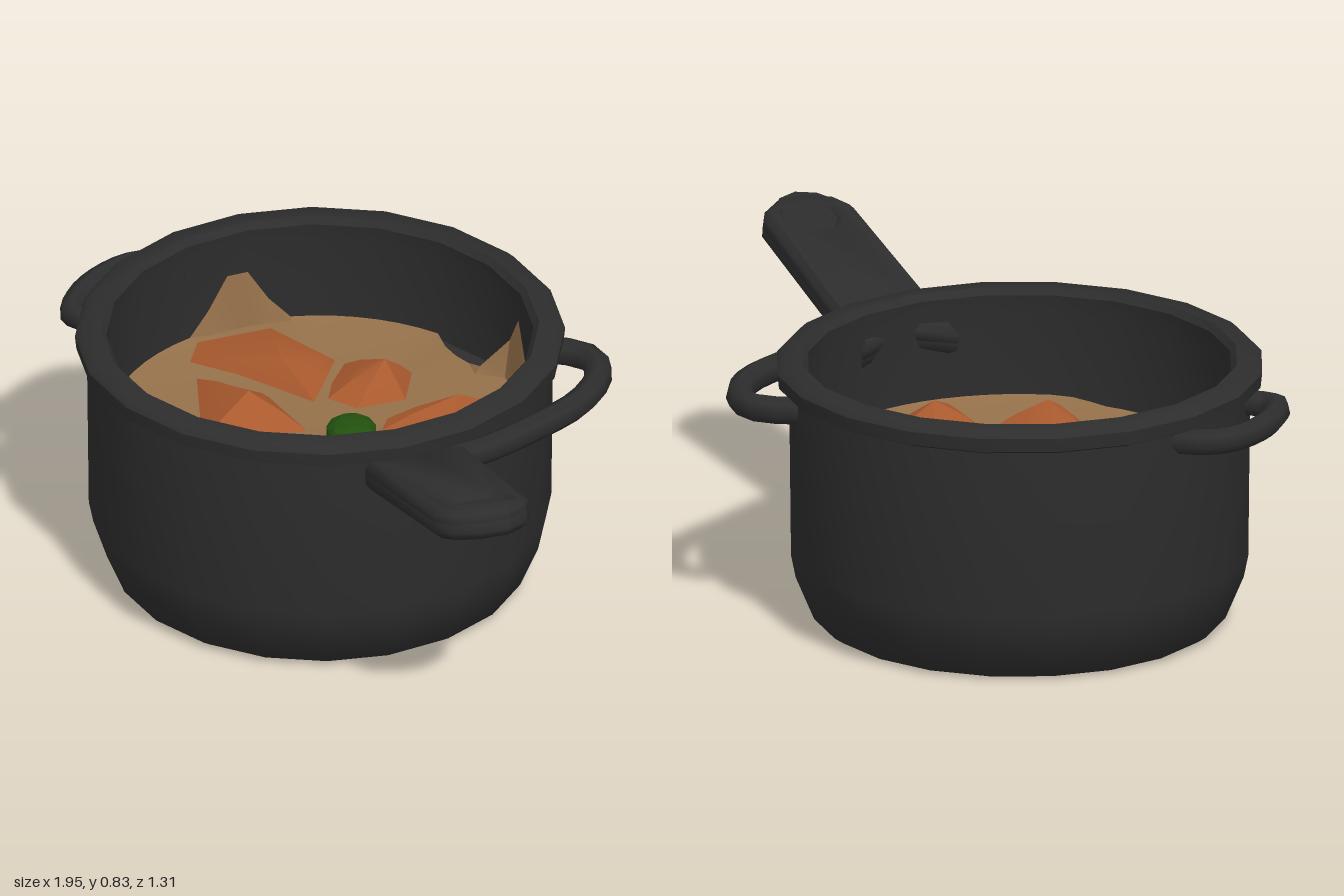
import * as THREE from 'three';
import { toCreasedNormals } from 'three/addons/utils/BufferGeometryUtils.js';

const POT_X = -0.27, BROTH_Y = 0.43;
const mat = (name, color) => {
  const m = new THREE.MeshStandardMaterial({ color });
  m.name = name;
  return m;
};

export function createModel() {
  const iron = mat('cast iron', 0x2d2d2d);
  const broth = mat('broth', 0x94704a);
  const orange = mat('orange chunk', 0xaa5a2e);
  const green = mat('green herb', 0x22500f);
  broth.side = orange.side = THREE.DoubleSide;

  const model = new THREE.Group();
  model.name = 'saucepan';
  const add = (name, geometry, material, parent = model) => {
    const mesh = new THREE.Mesh(geometry, material);
    mesh.name = name;
    parent.add(mesh);
    return mesh;
  };
  const meshFrom = (pos, index) => {
    const g = new THREE.BufferGeometry();
    g.setAttribute('position', new THREE.Float32BufferAttribute(pos, 3));
    g.setIndex(index);
    return toCreasedNormals(g, 0.5);
  };

  // Pot: outside wall, rolled rim and inner wall in one profile
  const profile = [
    [0, 0], [0.53, 0.003], [0.555, 0.02], [0.605, 0.14], [0.617, 0.2], [0.622, 0.66],
    [0.65, 0.672], [0.654, 0.71], [0.635, 0.728], [0.585, 0.73], [0.57, 0.712],
    [0.577, 0.66], [0.575, 0.41], [0, 0.41],
  ].map(([x, y]) => new THREE.Vector2(x, y));
  const pot = add('pot', toCreasedNormals(new THREE.LatheGeometry(profile, 20), 0.8), iron);
  pot.position.x = POT_X;

  // Long handle: plain lower slab and an upper slab with a round dimple
  const handle = new THREE.Group();
  handle.name = 'longHandle';
  const outline = [[-0.05, -0.145], [0.6, -0.135], [0.655, -0.1], [0.685, -0.03],
    [0.685, 0.05], [0.64, 0.11], [0.6, 0.13], [-0.06, 0.142], [0.01, 0]];
  const slab = (depth, hole) => {
    const s = new THREE.Shape(outline.map(([x, y]) => new THREE.Vector2(x, y)));
    if (hole) s.holes.push(new THREE.Path().absellipse(0.59, 0, 0.08, 0.075, 0, Math.PI * 2, true));
    const g = new THREE.ExtrudeGeometry(s, {
      depth, curveSegments: 5, bevelEnabled: true, bevelSegments: 1,
      bevelThickness: 0.018, bevelSize: 0.018, bevelOffset: -0.018,
    });
    return toCreasedNormals(g.rotateX(-Math.PI / 2), 0.8);
  };
  add('handleBase', slab(0.03, false), iron, handle).position.y = -0.025;
  add('handleTop', slab(0.025, true), iron, handle).position.y = -0.002;
  handle.position.set(0.3, 0.608, 0.13);
  handle.rotation.set(0, -0.34, 0.27);
  model.add(handle);

  // Side loops
  const loop = (name, y, r, pts) => {
    const path = new THREE.CatmullRomCurve3(pts.map(([x, z]) => new THREE.Vector3(x, y, z)));
    add(name, new THREE.TubeGeometry(path, 14, r, 7), iron);
  };
  loop('smallLoop', 0.635, 0.035, [[-0.86, -0.02], [-0.935, 0.03], [-0.967, 0.1],
    [-0.955, 0.22], [-0.91, 0.32], [-0.85, 0.383], [-0.78, 0.35]]);
  loop('largeLoop', 0.622, 0.038, [[0.05, -0.51], [0.12, -0.565], [0.19, -0.573],
    [0.265, -0.52], [0.33, -0.41], [0.36, -0.25], [0.372, -0.05], [0.36, 0.04]]);

  // Broth: a disc that pulls back from the wall in places and splashes up in others
  const gaps = [[92, 34, 0.05], [-92, 14, 0.06], [-33, 12, 0.065]];
  const splashes = [-165, -72];
  const N = 60, pos = [0, BROTH_Y, 0], idx = [];
  for (let i = 0; i < N; i++) {
    const deg = i * 6 - 180, a = THREE.MathUtils.degToRad(deg);
    let edge = 0.563, rise = 0;
    for (const [at, half, depth] of gaps) {
      edge -= depth * Math.min(1, 2.5 * Math.max(0, 1 - Math.abs(deg - at) / half));
    }
    for (const at of splashes) rise += 0.2 * Math.max(0, 1 - Math.abs(deg - at) / 13);
    pos.push((edge - 0.015) * Math.cos(a), BROTH_Y, (edge - 0.015) * Math.sin(a));
    pos.push(edge * Math.cos(a), BROTH_Y + 0.005 + rise, edge * Math.sin(a));
    const p = 1 + i * 2, q = 1 + ((i + 1) % N) * 2;
    idx.push(0, q, p, p, q, p + 1, q, q + 1, p + 1);
  }
  add('broth', meshFrom(pos, idx), broth).position.x = POT_X;

  // Chunks: outline at the surface, a raised shoulder and an off-centre peak
  const chunk = ([px, pz, h], outer) => {
    const n = outer.length, p = [], f = [];
    outer.forEach(([x, z]) => {
      p.push(x, BROTH_Y + 0.006, z);
      p.push(px + (x - px) * 0.6, BROTH_Y + 0.01 + h * 0.45, pz + (z - pz) * 0.6);
    });
    p.push(px, BROTH_Y + 0.01 + h, pz);
    for (let i = 0; i < n; i++) {
      const a = i * 2, b = ((i + 1) % n) * 2;
      f.push(a, a + 1, b, b, a + 1, b + 1, a + 1, 2 * n, b + 1);
    }
    add('chunk', meshFrom(p, f), orange);
  };
  chunk([-0.52, -0.06, 0.06], [[-0.74, -0.2], [-0.5, -0.23], [-0.42, -0.13], [-0.36, -0.05],
    [-0.6, 0.02], [-0.73, 0.08], [-0.8, 0]]);
  chunk([-0.31, -0.25, 0.08], [[-0.47, -0.24], [-0.32, -0.35], [-0.22, -0.25],
    [-0.26, -0.12], [-0.35, -0.09], [-0.41, -0.15]]);
  chunk([-0.04, -0.29, 0.08], [[-0.14, -0.33], [-0.01, -0.44], [0.03, -0.2],
    [-0.13, -0.1], [-0.17, -0.15]]);
  chunk([0.07, 0.02, 0.08], [[-0.02, -0.08], [0.1, -0.11], [0.17, -0.03],
    [0.15, 0.19], [-0.02, 0.12]]);
  chunk([-0.14, 0.24, 0.08], [[-0.31, 0.15], [-0.2, 0.1], [-0.03, 0.14],
    [-0.07, 0.38], [-0.22, 0.32], [-0.3, 0.25]]);
  chunk([-0.4, 0.14, 0.08], [[-0.57, 0.09], [-0.45, 0.03], [-0.25, 0.06],
    [-0.32, 0.2], [-0.37, 0.32], [-0.65, 0.12]]);

  // Herb garnish
  const herb = add('herb', toCreasedNormals(new THREE.IcosahedronGeometry(0.07, 1), 0.2), green);
  herb.scale.y = 0.55;
  herb.position.set(-0.16, 0.45, -0.02);

  return model;
}
